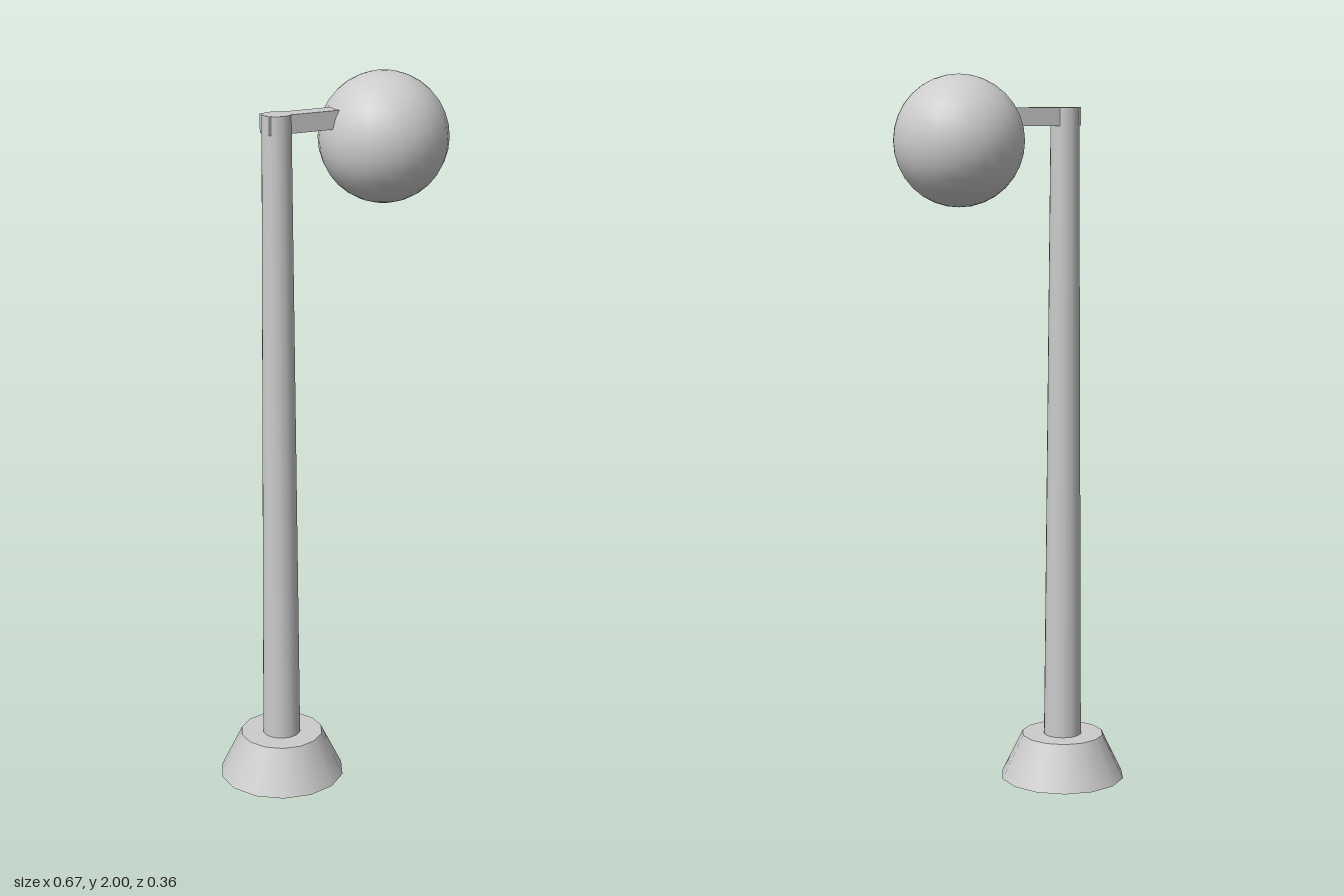
import * as THREE from 'three';

export function createModel() {
  const model = new THREE.Group();
  model.name = 'streetLamp';
  const grey = new THREE.MeshStandardMaterial({ color: 0xcccccc });
  grey.name = 'lightGrey';

  const add = (name, geometry, x, y, z = 0) => {
    const mesh = new THREE.Mesh(geometry, grey);
    mesh.name = name;
    mesh.position.set(x, y, z);
    model.add(mesh);
  };

  const poleX = -0.165, sides = 14;

  // Tapered foot and slim tapered pole, sharing one axis
  add('base', new THREE.CylinderGeometry(0.117, 0.178, 0.126, sides), poleX, 0.063);
  add('pole', new THREE.CylinderGeometry(0.04, 0.054, 1.784, sides), poleX, 1.018);

  // Square arm: its end pokes slightly through the far side of the pole
  add('arm', new THREE.BoxGeometry(0.24, 0.05, 0.053), -0.081, 1.885);

  // Round lamp globe
  add('globe', new THREE.SphereGeometry(0.178, 24, 16), 0.158, 1.822);

  return model;
}
